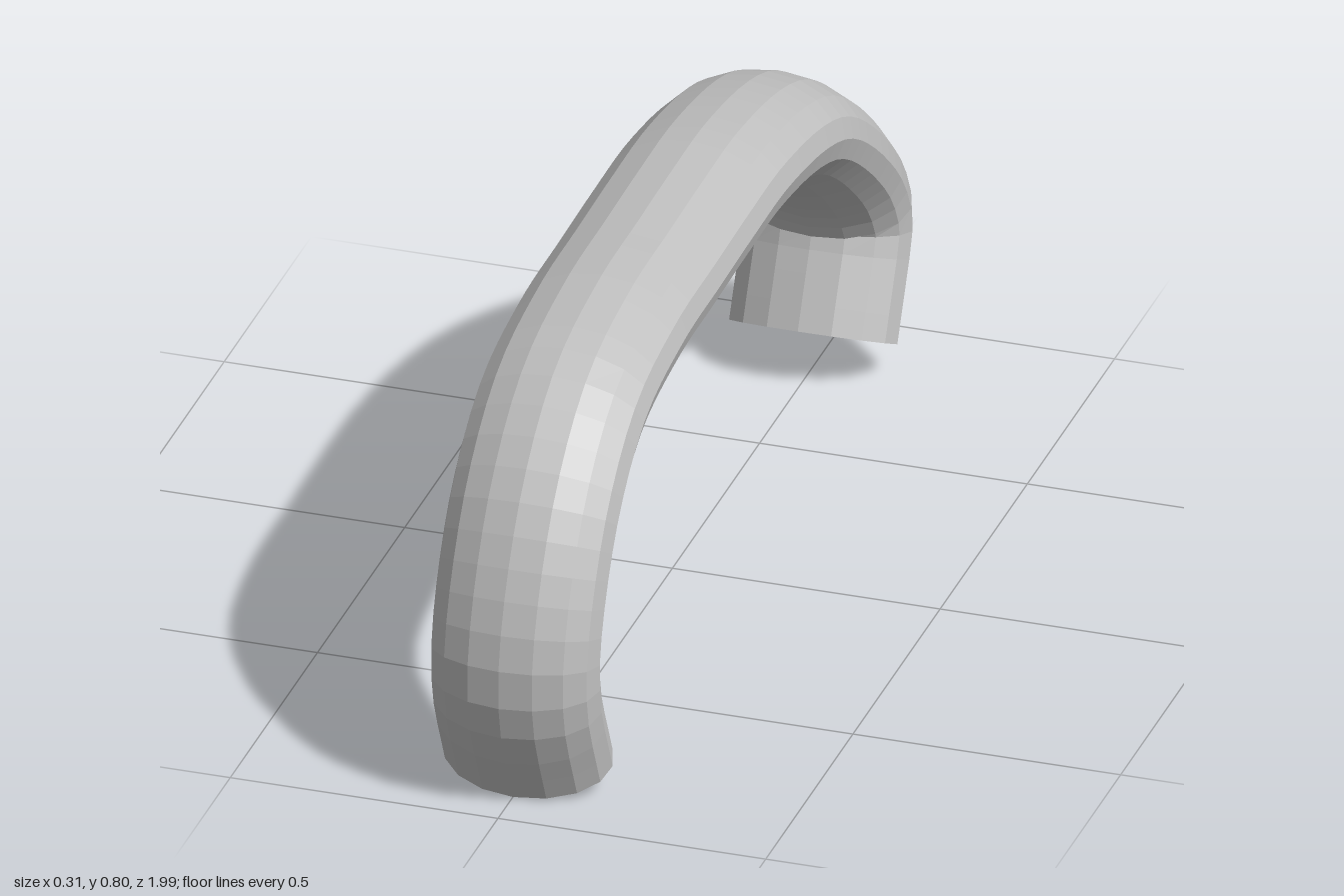
import * as THREE from 'three';

export function createModel() {
  const group = new THREE.Group();
  group.name = 'pullHandle';

  const grey = new THREE.MeshStandardMaterial({ color: 0xbfbfbf, flatShading: true, side: THREE.DoubleSide });
  grey.name = 'grey';

  // Centre line as [z, y], front foot to back foot, with straight tips
  const path = [
    [0.824, 0.044], [0.856, 0.112], [0.886, 0.178],
    [0.9, 0.26], [0.876, 0.37], [0.785, 0.53], [0.64, 0.645], [0.42, 0.692],
    [0.2, 0.698], [0, 0.702], [-0.18, 0.7], [-0.415, 0.663], [-0.565, 0.606],
    [-0.75, 0.472], [-0.857, 0.36], [-0.896, 0.273],
    [-0.88, 0.215], [-0.846, 0.147], [-0.808, 0.071],
  ].map(([z, y]) => new THREE.Vector3(0, y, z));
  const curve = new THREE.CatmullRomCurve3(path, false, 'centripetal');

  // Open tube, widened sideways into an oval section
  const geometry = new THREE.TubeGeometry(curve, 52, 0.1, 16, false);
  geometry.scale(1.57, 1, 1);
  geometry.computeVertexNormals();

  const handle = new THREE.Mesh(geometry, grey);
  handle.name = 'handleBar';
  group.add(handle);
  return group;
}
